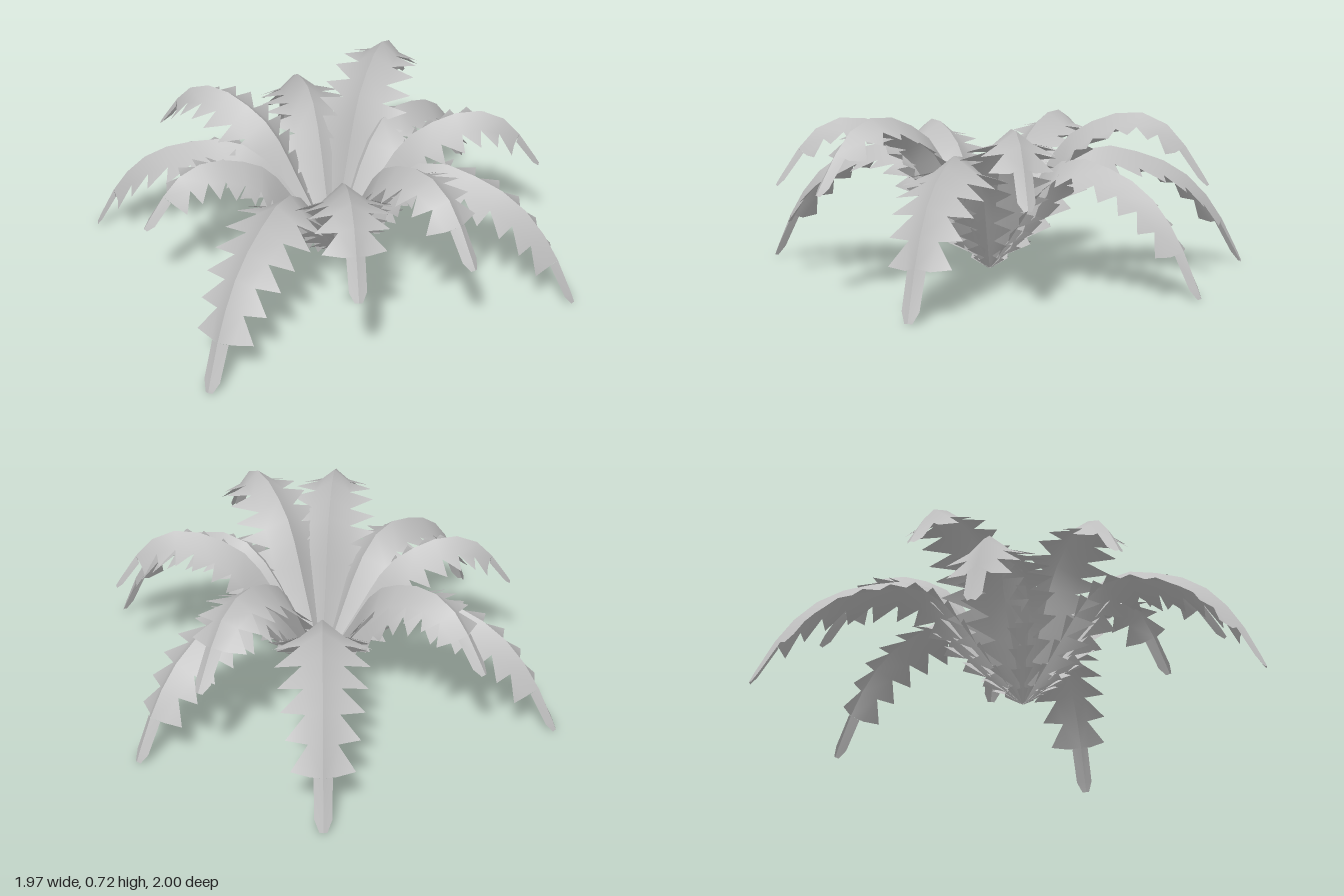
import * as THREE from 'three';

const TEETH = 12;      // leaflets on each side of a frond
const STEM = 0.87;     // where the leaflets end and the bare tip begins
const BASE = new THREE.Vector3(0.055, 0.03, 0);

// Rib profiles: fraction of reach, fraction of peak height
const HIGH = [[0, 0.04], [0.18, 0.47], [0.35, 0.83], [0.5, 0.95], [0.66, 1], [0.8, 0.94], [0.91, 0.78], [1, 0.59]];
const LOW = [[0, 0.06], [0.12, 0.43], [0.22, 0.73], [0.32, 0.93], [0.43, 1], [0.56, 0.95], [0.7, 0.84], [0.8, 0.69], [0.88, 0.49], [0.95, 0.24], [1, 0.01]];

// Tip x, tip z, peak height, profile
const FRONDS = [
  [0.97, 0.01, 0.73, HIGH], [0.83, 0.495, 0.70, HIGH], [0.495, 0.995, 0.56, LOW],
  [-0.17, 0.83, 0.63, HIGH], [-0.81, 0.675, 0.53, LOW], [-0.815, 0.30, 0.67, HIGH],
  [-0.99, -0.535, 0.55, LOW], [-0.45, -0.815, 0.73, HIGH], [-0.205, -1.0, 0.54, LOW],
  [0.535, -0.77, 0.70, HIGH], [0.98, -0.58, 0.58, LOW],
];

// Half width at the leaflet points along the rib
const WIDTHS = [[0, 0.01], [0.12, 0.13], [0.25, 0.2], [0.5, 0.205], [0.7, 0.17], [1, 0.095]];
function halfWidth(u) {
  const i = Math.max(1, WIDTHS.findIndex(p => p[0] >= u));
  const [a, b] = [WIDTHS[i - 1], WIDTHS[i]];
  return THREE.MathUtils.mapLinear(u, a[0], b[0], a[1], b[1]);
}

// One half of a frond: a steep strip beside the rib, edged with flatter pointed leaflets
function halfFrond(rib, across, side) {
  const pos = [], index = [];
  const s = across.clone().multiplyScalar(side);
  const add = (u, w, droop) => {
    const t = rib.getTangentAt(u);
    const n = new THREE.Vector3().crossVectors(across, t).normalize();
    const p = rib.getPointAt(u).addScaledVector(s, w).addScaledVector(n, -droop);
    pos.push(p.x, p.y, p.z);
    return pos.length / 3 - 1;
  };
  const tri = (a, b, c) => index.push(...(side > 0 ? [a, c, b] : [a, b, c]));
  const station = i => STEM * Math.pow(i / TEETH, 1.12);
  const inner = u => halfWidth(u) * (0.5 - 0.12 * u);

  let r0 = add(0, 0, 0), v0 = add(0, 0.005, 0.004);
  for (let i = 0; i < TEETH; i++) {
    const ua = station(i), ub = station(i + 1);
    const um = ua + (ub - ua) * 0.85, w = inner(ub), wt = halfWidth(um);
    const r1 = add(ub, 0, 0), v1 = add(ub, w, w * 0.8);
    const wi = inner(um);
    const tip = add(um, wt, wi * 0.8 + (wt - wi) * 0.25);
    tri(r0, r1, v0);
    tri(r1, v1, v0);
    tri(v0, v1, tip);
    r0 = r1;
    v0 = v1;
  }
  // Narrow bare tip with a blunt end
  v0 = add(STEM, 0.038, 0.025);
  for (const [u, w] of [[0.97, 0.036], [1, 0.016]]) {
    const r1 = add(u, 0, 0), v1 = add(u, w, w * 0.5);
    tri(r0, r1, v0);
    tri(r1, v1, v0);
    r0 = r1;
    v0 = v1;
  }
  const g = new THREE.BufferGeometry();
  g.setAttribute('position', new THREE.Float32BufferAttribute(pos, 3));
  g.setIndex(index);
  g.computeVertexNormals();
  return g;
}

export function createModel() {
  const leafGrey = new THREE.MeshStandardMaterial({ color: 0xbfbfbf, side: THREE.DoubleSide });
  leafGrey.name = 'leafGrey';
  const model = new THREE.Group();
  model.name = 'palmCrown';

  FRONDS.forEach(([x, z, peak, profile], i) => {
    const reach = new THREE.Vector3(x - BASE.x, 0, z - BASE.z);
    const across = new THREE.Vector3(-reach.z, 0, reach.x).normalize();
    const rib = new THREE.CatmullRomCurve3(profile.map(([f, h]) =>
      new THREE.Vector3(BASE.x + reach.x * f, f === 0 ? BASE.y : peak * h, BASE.z + reach.z * f)));
    const frond = new THREE.Group();
    frond.name = `frond${i + 1}`;
    for (const side of [1, -1]) {
      const half = new THREE.Mesh(halfFrond(rib, across, side), leafGrey);
      half.name = side > 0 ? 'leafletsA' : 'leafletsB';
      frond.add(half);
    }
    model.add(frond);
  });
  return model;
}
